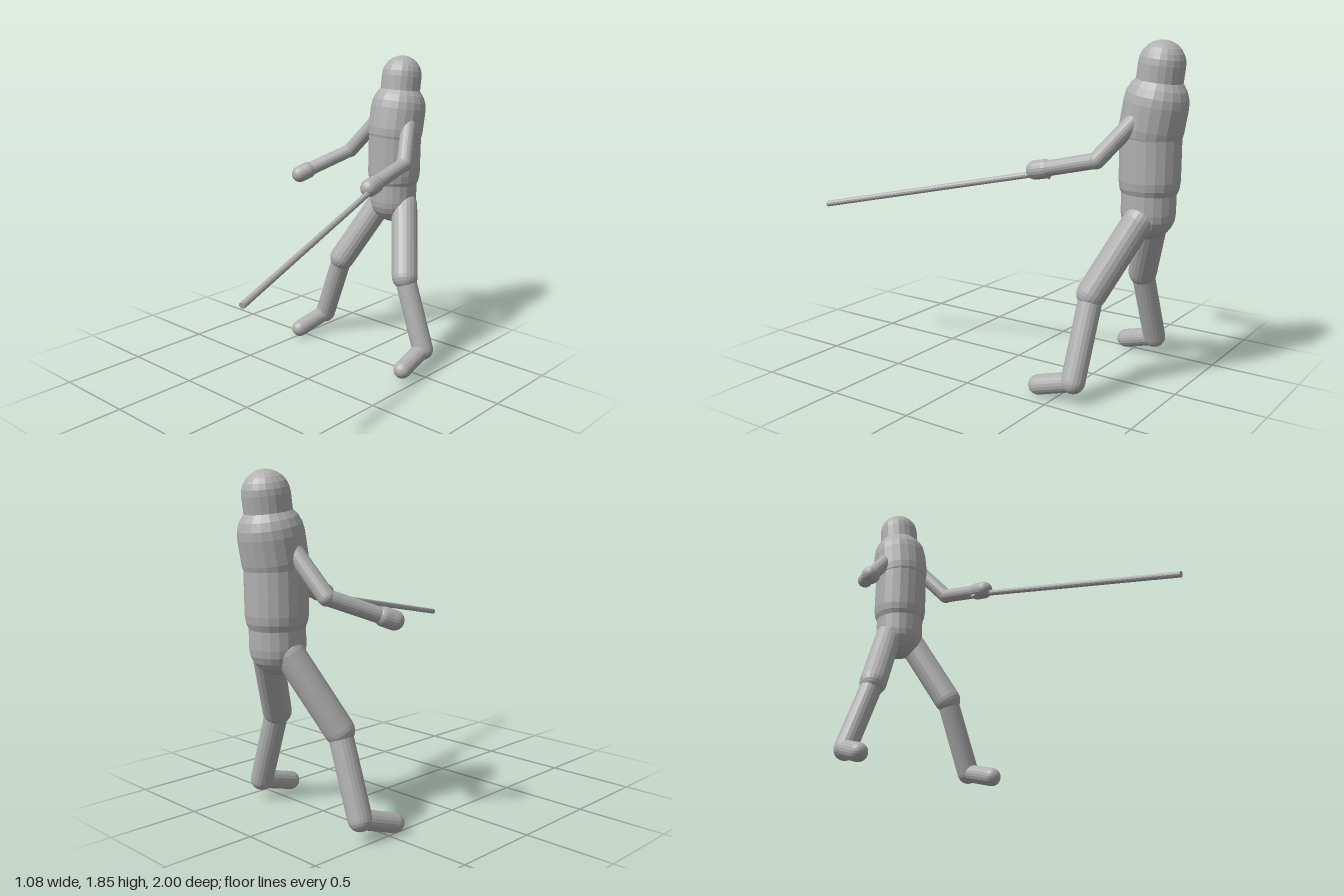
import * as THREE from 'three';

export function createModel() {
  const model = new THREE.Group();
  const grey = new THREE.MeshStandardMaterial({ color: 0xb0b0b0, flatShading: true });
  grey.name = 'plain grey';
  const up = new THREE.Vector3(0, 1, 0);

  // Places a geometry, built along y, between two points
  function span(name, from, to, build) {
    const a = new THREE.Vector3(...from);
    const b = new THREE.Vector3(...to);
    const mesh = new THREE.Mesh(build(a.distanceTo(b)), grey);
    mesh.name = name;
    mesh.position.copy(a).lerp(b, 0.5);
    mesh.quaternion.setFromUnitVectors(up, b.sub(a).normalize());
    model.add(mesh);
  }
  // Rounded body part whose end spheres sit on the two points
  const limb = (name, r, from, to) =>
    span(name, from, to, (len) => new THREE.CapsuleGeometry(r, len, 6, 20));
  const rod = (name, r, from, to) =>
    span(name, from, to, (len) => new THREE.CylinderGeometry(r, r, len, 12));

  // Head and trunk
  limb('head', 0.121, [-0.015, 1.55, -0.835], [-0.015, 1.729, -0.858]);
  limb('chest', 0.168, [-0.015, 1.405, -0.81], [-0.015, 1.53, -0.832]);
  limb('abdomen', 0.161, [-0.016, 1.135, -0.807], [-0.016, 1.37, -0.807]);
  limb('hips', 0.144, [-0.015, 0.965, -0.805], [-0.015, 1.13, -0.805]);

  // Arms: shoulder, elbow, wrist and hand tip joints
  const arms = {
    left: [[0.095, 1.48, -0.8], [0.206, 1.246, -0.615], [0.225, 1.178, -0.318], [0.23, 1.168, -0.264]],
    right: [[-0.125, 1.475, -0.8], [-0.325, 1.24, -0.75], [-0.457, 1.13, -0.487], [-0.479, 1.11, -0.441]],
  };
  for (const [side, [shoulder, elbow, wrist, tip]] of Object.entries(arms)) {
    limb(side + 'UpperArm', 0.045, shoulder, elbow);
    limb(side + 'Forearm', 0.042, elbow, wrist);
    limb(side + 'Hand', 0.052, wrist, tip);
  }

  // Legs: hip, knee, ankle and toe joints
  const legs = {
    left: [[0.08, 0.937, -0.8], [0.235, 0.55, -0.618], [0.396, 0.118, -0.608], [0.402, 0.055, -0.398]],
    right: [[-0.1, 0.937, -0.8], [-0.293, 0.55, -0.645], [-0.449, 0.122, -0.655], [-0.49, 0.055, -0.45]],
  };
  for (const [side, [hip, knee, ankle, toe]] of Object.entries(legs)) {
    limb(side + 'Thigh', 0.08, hip, knee);
    limb(side + 'Shin', 0.064, knee, ankle);
    limb(side + 'Foot', 0.053, ankle, toe);
  }

  // Long staff held in the left hand, with a small peg behind the grip
  rod('staff', 0.017, [0.236, 1.149, -0.27], [0.522, 0.888, 0.996]);
  rod('gripPeg', 0.012, [0.23, 1.168, -0.27], [0.182, 1.127, -0.325]);

  return model;
}
